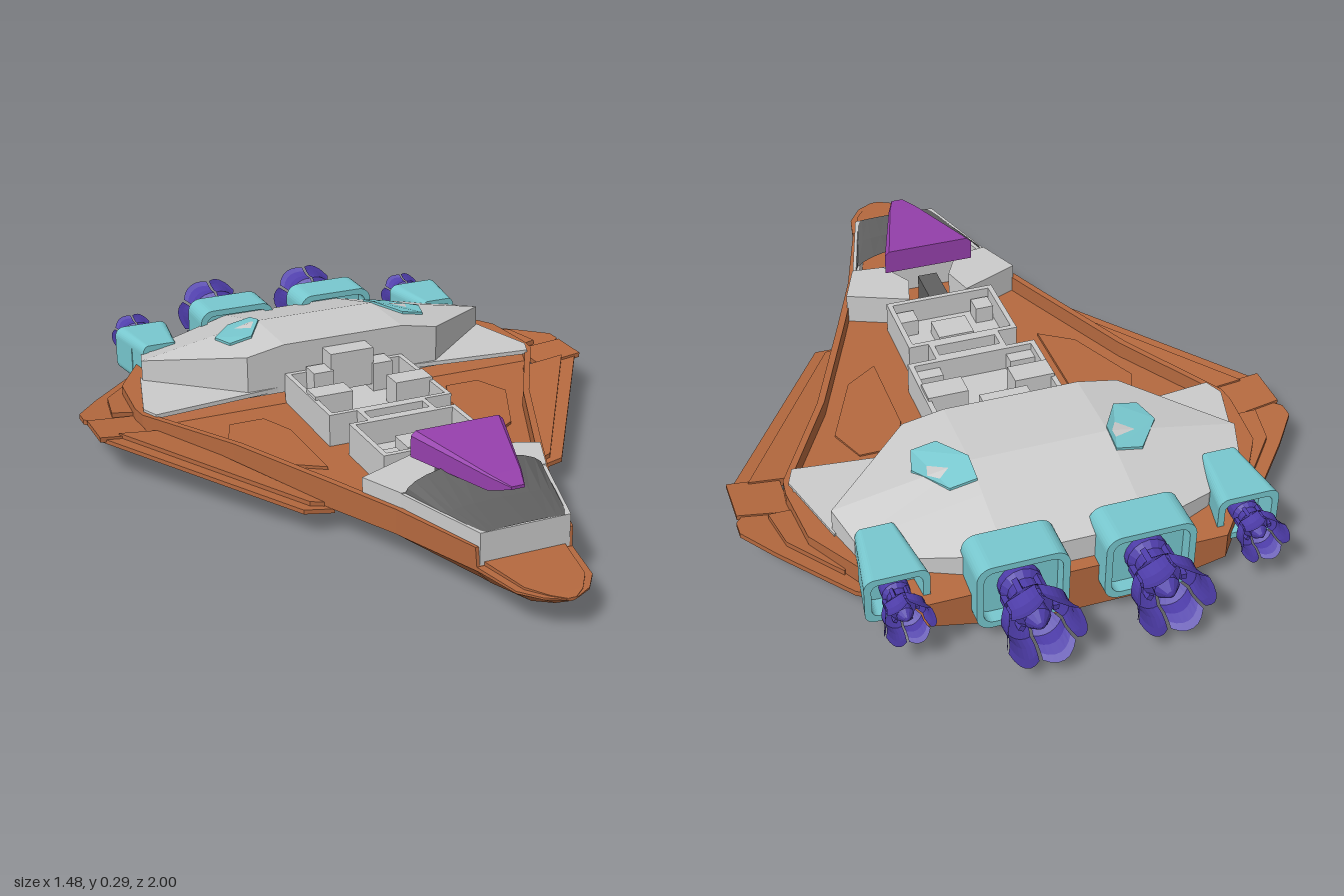
import * as THREE from 'three';

const paint = (color, smooth) => new THREE.MeshStandardMaterial({ color, flatShading: !smooth, side: THREE.DoubleSide });
const GREY = paint(0xcccccc), DARK = paint(0x606060), ORANGE = paint(0xb5693f);
const TEAL = paint(0x78c8cf), VIOLET = paint(0x4d3ca8), PURPLE = paint(0x9640ac);

// Skin over cross-sections [z, [[x, y], ...]], ordered from front to back
function loft(sections, closed = true) {
  const pos = [], idx = [], n = sections[0][1].length;
  for (const [z, pts] of sections) for (const [x, y] of pts) pos.push(x, y, z);
  const span = closed ? n : n - 1;
  for (let i = 0; i < sections.length - 1; i++)
    for (let j = 0; j < span; j++) {
      const a = i * n + j, b = i * n + (j + 1) % n;
      idx.push(a, a + n, b, b, a + n, b + n);
    }
  if (closed) [0, sections.length - 1].forEach((s, end) => {
    const [z, pts] = sections[s], c = pos.length / 3;
    pos.push(0, pts.reduce((t, p) => t + p[1], 0) / n, z);
    for (let j = 0; j < n; j++) {
      const a = s * n + j, b = s * n + (j + 1) % n;
      end ? idx.push(c, b, a) : idx.push(c, a, b);
    }
  });
  const g = new THREE.BufferGeometry();
  g.setAttribute('position', new THREE.Float32BufferAttribute(pos, 3));
  g.setIndex(idx);
  const flat = g.toNonIndexed();
  flat.computeVertexNormals();
  return flat;
}

const mirrored = half => [...half, ...half.map(([x, y]) => [-x, y]).reverse()];

// Slab from a plan outline [x, z]; its underside follows base(x, z)
function plate(outline, thick, base, hole) {
  const v = pts => pts.map(([x, z]) => new THREE.Vector2(x, -z));
  const shape = new THREE.Shape(v(outline));
  if (hole) shape.holes.push(new THREE.Path(v(hole)));
  const g = new THREE.ExtrudeGeometry(shape, { depth: thick, bevelEnabled: false }).rotateX(-Math.PI / 2);
  const p = g.attributes.position;
  for (let i = 0; i < p.count; i++) p.setY(i, p.getY(i) + base(Math.abs(p.getX(i)), p.getZ(i)));
  g.computeVertexNormals();
  return g;
}

const rect = (x0, x1, z0, z1) => [[x0, z0], [x1, z0], [x1, z1], [x0, z1]];
const roof = (x, z) => 0.277 - 0.19 * Math.max(0, x - 0.18) - 0.28 * Math.max(0, -z - 0.5);
const wingY = x => 0.027 + 0.108 * x;

function roundedRect(w, h, r, Path) {
  const s = new Path(), x = w / 2 - r, y = h / 2 - r;
  s.absarc(x, y, r, 0, Math.PI / 2);
  s.absarc(-x, y, r, Math.PI / 2, Math.PI);
  s.absarc(-x, -y, r, Math.PI, Math.PI * 1.5);
  s.absarc(x, -y, r, Math.PI * 1.5, Math.PI * 2);
  s.closePath();
  return s;
}

// Engine: hollow housing with a neck and a ring of flared petals, pointing to -z
function engine(w, h, len, taper, R, flame) {
  const g = new THREE.Group();
  const add = (name, geo, mat) => {
    const m = new THREE.Mesh(geo, mat);
    m.name = name;
    g.add(m);
    return m;
  };
  const shape = roundedRect(w, h, h * 0.2, THREE.Shape);
  shape.holes.push(roundedRect(w - 0.035, h - 0.035, h * 0.14, THREE.Path));
  const back = roundedRect(w - 0.03, h - 0.03, h * 0.15, THREE.Shape);
  const housing = new THREE.ExtrudeGeometry(shape, { depth: len, bevelEnabled: false, curveSegments: 4 });
  const p = housing.attributes.position;
  for (let i = 0; i < p.count; i++) p.setX(i, p.getX(i) * (1 - taper * p.getZ(i) / len));
  housing.computeVertexNormals();
  add('engineHousing', housing, TEAL);
  const plug = new THREE.ExtrudeGeometry(back, { depth: len * 0.3, bevelEnabled: false, curveSegments: 4 });
  add('engineBulkhead', plug.translate(0, 0, len * 0.3), TEAL);

  const axis = geo => geo.rotateX(-Math.PI / 2);
  const lathe = (pts, seg, start, sweep) => new THREE.LatheGeometry(
    pts.map(([r, y]) => new THREE.Vector2(r * R, y * flame)), seg, start, sweep);
  add('nozzleNeck', axis(lathe([[0.6, -0.4], [0.6, -0.1], [0.45, 0], [0.45, 0.25], [0.55, 0.3], [0.55, 0.4], [0, 0.4]], 16)), VIOLET);
  add('nozzleCone', axis(lathe([[0.32, 0.35], [0.36, 0.6], [0.12, 0.75], [0, 0.78]], 12)), VIOLET);
  const profile = [[0.5, 0.2], [0.72, 0.34], [0.92, 0.48], [0.9, 0.7], [0.98, 0.88], [1.08, 1]];
  const sweep = Math.PI / 3 * 0.92;
  for (let k = 0; k < 6; k++) {
    const petal = lathe(profile, 6, k * Math.PI / 3, sweep), q = petal.attributes.position;
    // round the petal tips
    for (let i = 0; i < q.count; i++) {
      const t = Math.floor(i / profile.length) / 3 - 1, y = q.getY(i) / flame;
      q.setY(i, (y - 0.2 * t * t * Math.max(0, y - 0.2)) * flame);
    }
    add('nozzlePetal', axis(petal), VIOLET);
    const rib = new THREE.BoxGeometry(R * 0.16, flame * 0.4, R * 0.16);
    rib.translate(0, flame * 0.25, R * 0.6).rotateY(k * Math.PI / 3 + sweep / 2);
    add('nozzleRib', axis(rib), VIOLET);
  }
  return g;
}

export function createModel() {
  const model = new THREE.Group();
  const add = (name, geo, mat) => {
    const m = new THREE.Mesh(geo, mat);
    m.name = name;
    model.add(m);
    return m;
  };
  const box = (name, x, y, z, w, h, d, mat = GREY) => add(name, new THREE.BoxGeometry(w, h, d).translate(x, y, z), mat);

  // Hull: z, half width, edge y, keel half width, keel y, wall top, deck y
  const hull = [
    [1, 0.015, 0.094, 0.005, 0.09, 0.097, 0.098], [0.975, 0.06, 0.093, 0.03, 0.078, 0.098, 0.1],
    [0.92, 0.1, 0.09, 0.06, 0.062, 0.096, 0.102], [0.78, 0.128, 0.085, 0.09, 0.045, 0.095, 0.105],
    [0.775, 0.13, 0.085, 0.09, 0.045, 0.145, 0.1], [0.52, 0.215, 0.078, 0.12, 0.03, 0.145, 0.1],
    [0.32, 0.3, 0.073, 0.13, 0.022, 0.145, 0.1], [0, 0.44, 0.085, 0.13, 0.015, 0.145, 0.1],
    [-0.28, 0.6, 0.095, 0.13, 0.008, 0.145, 0.105], [-0.33, 0.605, 0.097, 0.13, 0.007, 0.145, 0.145],
    [-0.5, 0.59, 0.095, 0.13, 0.005, 0.145, 0.145], [-0.68, 0.48, 0.08, 0.13, 0.003, 0.145, 0.145],
    [-0.8, 0.38, 0.06, 0.13, 0.003, 0.13, 0.13],
  ];
  add('hull', loft(hull.map(([z, w, ye, wb, yb, top, deck]) => {
    const t = w - Math.min(0.02, w * 0.3);
    return [z, mirrored([[wb, yb], [w, ye], [w, top], [t, top], [t, deck]])];
  })), ORANGE);

  // Upper shell with vertical sides
  const shell = [[-0.29, 0.29], [-0.4, 0.415], [-0.5, 0.53], [-0.6, 0.5], [-0.7, 0.37], [-0.77, 0.19]];
  add('upperShell', loft(shell.map(([z, w]) =>
    [z, mirrored([[w, 0.135], [w, roof(w, z)], [0.18, roof(0.18, z)]])])), GREY);
  box('shellPorch', 0, 0.195, -0.26, 0.13, 0.11, 0.06);

  // Open rooms along the spine
  for (const [w, z0, z1] of [[0.18, -0.29, 0.03], [0.1, 0.03, 0.1], [0.155, 0.1, 0.32]]) {
    const t = 0.014;
    add('roomWalls', plate(rect(-w, w, z0, z1), 0.095, () => 0.095, rect(t - w, w - t, z0 + t, z1 - t)), GREY);
    box('roomFloor', 0, 0.112, (z0 + z1) / 2, 2 * w - 0.01, 0.02, z1 - z0 - 0.01);
  }
  box('corridor', 0, 0.14, 0.375, 0.055, 0.09, 0.12, DARK);
  box('table', 0, 0.14, 0.2, 0.1, 0.04, 0.08);

  // Cockpit tub, canopy and hood
  add('cockpitTub', plate([[-0.12, 0.78], [-0.205, 0.5], [0.205, 0.5], [0.12, 0.78]], 0.085, () => 0.097,
    [[-0.1, 0.765], [-0.18, 0.515], [0.18, 0.515], [0.1, 0.765]]), GREY);
  const arch = (w, h) => Array.from({ length: 13 }, (_, i) => {
    const a = Math.PI * i / 12;
    return [w * Math.cos(a), 0.18 + (h - 0.18) * Math.sin(a)];
  });
  add('canopy', loft([[0.78, arch(0.115, 0.185)], [0.66, arch(0.15, 0.198)], [0.52, arch(0.19, 0.238)]], false), DARK);
  add('hood', loft([[0.735, 0.018, 0.252, 0.26], [0.67, 0.045, 0.227, 0.268], [0.42, 0.128, 0.225, 0.294]]
    .map(([z, w, y0, y1]) => [z, mirrored([[w, y0], [w, y1 - 0.012 * w / 0.128], [w * 0.9, y1]])])), PURPLE);

  for (const s of [-1, 1]) {
    const side = pts => pts.map(([x, z]) => [x * s, z]);
    const slab = (name, pts, thick, base, mat) => add(name, plate(side(pts), thick, base, mat === GREY ? undefined : null), mat);

    slab('cockpitSide', [[0.06, 0.42], [0.085, 0.33], [0.25, 0.4], [0.2, 0.52], [0.11, 0.51]], 0.088, () => 0.097, GREY);
    slab('shellSkirt', [[0.2, -0.29], [0.57, -0.25], [0.59, -0.3], [0.53, -0.52], [0.3, -0.35]], 0.012, () => 0.14, GREY);

    // Layered wing plates
    slab('frontWing', [[0.29, 0.32], [0.37, 0.31], [0.725, -0.235], [0.5, -0.235]], 0.012, wingY, ORANGE);
    slab('frontWingArmour', [[0.31, 0.3], [0.345, 0.29], [0.68, -0.235], [0.55, -0.235]], 0.012, x => wingY(x) + 0.012, ORANGE);
    slab('wingTip', [[0.6, -0.225], [0.735, -0.225], [0.735, -0.35], [0.6, -0.36]], 0.014, x => wingY(x) + 0.005, ORANGE);
    slab('rearWing', [[0.5, -0.3], [0.68, -0.3], [0.74, -0.37], [0.74, -0.41], [0.67, -0.5], [0.52, -0.67], [0.46, -0.7]],
      0.014, wingY, ORANGE);
    slab('rearWingArmour', [[0.57, -0.36], [0.66, -0.37], [0.64, -0.48], [0.53, -0.61], [0.5, -0.55]],
      0.014, x => wingY(x) + 0.014, ORANGE);

    // Raised panels on deck and belly
    slab('deckPanel', [[0.24, 0.16], [0.33, 0.1], [0.42, -0.1], [0.38, -0.2], [0.28, -0.2], [0.24, -0.1]], 0.008, () => 0.1, ORANGE);
    const belly = x => 0.002 + 0.185 * Math.max(0, x - 0.13);
    slab('bellyPanel', [[0.36, -0.17], [0.52, -0.2], [0.56, -0.32], [0.5, -0.42], [0.4, -0.38]], 0.02, belly, ORANGE);

    // Vents above and below
    const vent = [[0.18, -0.56], [0.25, -0.56], [0.32, -0.47], [0.3, -0.4], [0.235, -0.4], [0.18, -0.49]];
    slab('roofVent', vent, 0.014, (x, z) => roof(x, z) - 0.007, TEAL);
    slab('bellyVent', vent, 0.02, x => belly(x) - 0.003, TEAL);

    // Crew room furniture
    box('cabinet', s * 0.12, 0.15, -0.11, 0.11, 0.1, 0.065);
    box('bunk', s * 0.13, 0.14, 0, 0.07, 0.06, 0.04);
    box('console', s * 0.09, 0.155, -0.25, 0.06, 0.1, 0.06);
    box('seat', s * 0.11, 0.14, 0.27, 0.05, 0.06, 0.05);

    // Engines
    const inner = engine(0.23, 0.19, 0.12, 0, 0.09, 0.16);
    inner.name = 'innerEngine';
    inner.position.set(s * 0.16, 0.145, -0.84);
    const outer = engine(0.16, 0.13, 0.18, 0.35, 0.058, 0.105);
    outer.name = 'outerEngine';
    outer.position.set(s * 0.445, 0.15, -0.77);
    model.add(inner, outer);
  }
  return model;
}
